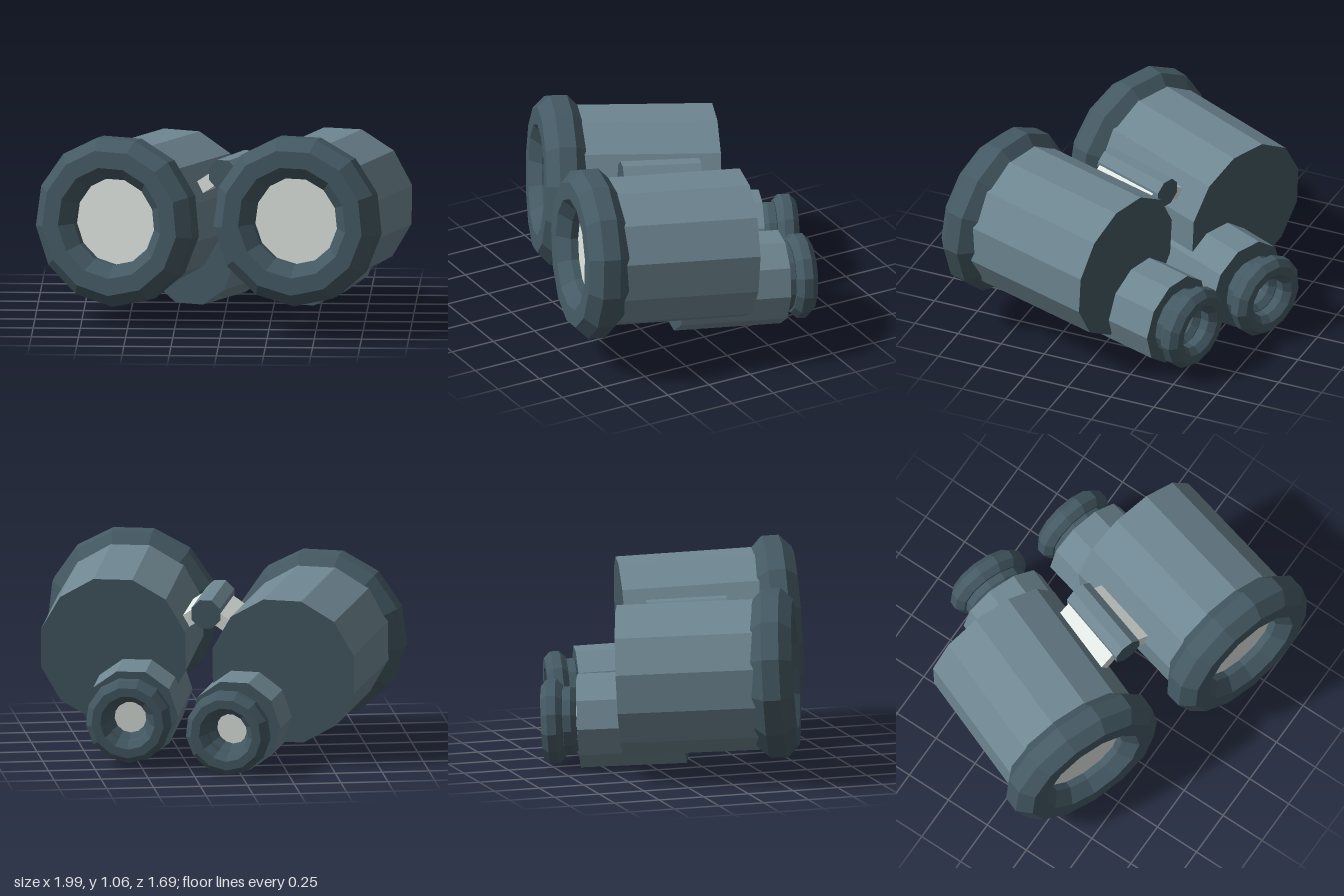
import * as THREE from 'three';

const mat = (color) => new THREE.MeshStandardMaterial({ color, flatShading: true });

export function createModel() {
  const model = new THREE.Group();
  model.name = 'binoculars';
  const shell = mat(0x6f8792), rubber = mat(0x455a64), glass = mat(0xdfe5e1);
  const capped = [shell, rubber, rubber]; // light sides, dark end caps

  const add = (parent, name, geometry, material, x = 0, y = 0, z = 0) => {
    const mesh = new THREE.Mesh(geometry, material);
    mesh.name = name;
    mesh.position.set(x, y, z);
    parent.add(mesh);
    return mesh;
  };

  // Cylinder running along local z between two depths
  const tube = (parent, name, radius, z0, z1, sides, material, x = 0, y = 0) => {
    const g = new THREE.CylinderGeometry(radius, radius, z1 - z0, sides);
    g.rotateX(Math.PI / 2).rotateZ(Math.PI / sides);
    return add(parent, name, g, material, x, y, (z0 + z1) / 2);
  };

  // Rounded ring with an octagonal section that is flat on its outer side
  const ring = (parent, name, R, r, z, x = 0, y = 0) => {
    const section = [];
    for (let i = 0; i <= 8; i++) {
      const a = ((i + 0.5) * Math.PI) / 4;
      section.push(new THREE.Vector2(R + r * Math.cos(a), r * Math.sin(a)));
    }
    const g = new THREE.LatheGeometry(section, 13).rotateX(Math.PI / 2);
    return add(parent, name, g, rubber, x, y, z);
  };

  // Group at a point with its local +z along a direction
  const aimed = (name, position, direction) => {
    const group = new THREE.Group();
    group.name = name;
    group.position.set(...position);
    group.lookAt(new THREE.Vector3(...position).add(new THREE.Vector3(...direction)));
    model.add(group);
    return group;
  };

  // The two halves splay slightly; origin is the centre of each barrel's back face
  const halves = [
    { name: 'leftHalf', at: [0.612, 0.573, -0.16], dir: [-0.2, 0.044, 0.78], eye: [-0.128, -0.285], end: -0.26, cup: -0.365 },
    { name: 'rightHalf', at: [-0.257, 0.5, -0.465], dir: [-0.31, 0.045, 0.785], eye: [0.207, -0.25], end: -0.238, cup: -0.375 },
  ];
  for (const { name, at, dir, eye, end, cup } of halves) {
    const half = aimed(name, at, dir);
    // Large objective barrel with its rim and lens
    tube(half, 'barrel', 0.4, 0, 0.81, 12, capped);
    ring(half, 'objectiveRim', 0.344, 0.12, 0.825);
    tube(half, 'objectiveLens', 0.26, 0.8, 0.83, 12, glass);
    // Smaller eyepiece tube with stepped rings and lens
    tube(half, 'eyepieceTube', 0.25, end, 0.325, 10, capped, ...eye);
    ring(half, 'eyepieceCollar', 0.135, 0.053, cup + 0.08, ...eye);
    ring(half, 'eyecup', 0.17, 0.062, cup, ...eye);
    tube(half, 'eyepieceLens', 0.13, end - 0.03, end + 0.01, 12, glass, ...eye);
  }

  // Central hinge with a sloping bridge plate to each barrel
  const hinge = aimed('hinge', [0.058, 0.77, 0.02], [-0.3, 0.055, 0.95]);
  tube(hinge, 'hingePin', 0.083, -0.213, 0.213, 8, capped);
  for (const [s, name, width] of [[1, 'leftBridgePlate', 0.24], [-1, 'rightBridgePlate', 0.19]]) {
    const plate = add(hinge, name, new THREE.BoxGeometry(width, 0.07, 0.38), glass,
      s * (width * 0.41), -0.04, s * 0.01);
    plate.rotation.z = -s * 0.6;
  }
  return model;
}
